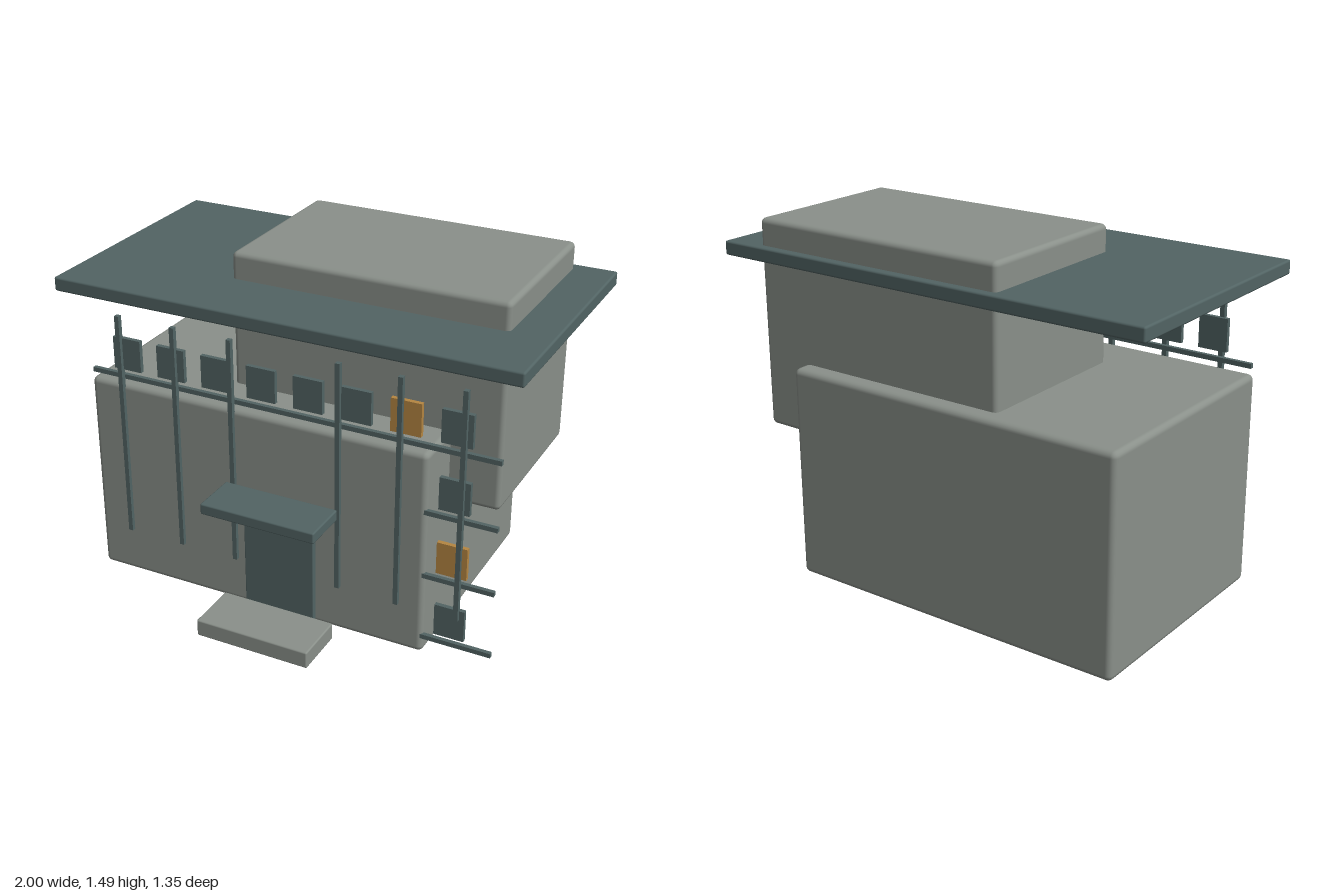
import * as THREE from 'three';
import { RoundedBoxGeometry } from 'three/addons/geometries/RoundedBoxGeometry.js';

const concrete = new THREE.MeshStandardMaterial({ name: 'concrete grey', color: 0x8a908a });
const slate = new THREE.MeshStandardMaterial({ name: 'slate teal', color: 0x526464 });
const amber = new THREE.MeshStandardMaterial({ name: 'lit amber', color: 0xb58642 });

// Box given by its [min, max] extents, with an optional rounded edge
function block(name, material, [x0, x1], [y0, y1], [z0, z1], radius = 0) {
  const size = [x1 - x0, y1 - y0, z1 - z0];
  const geometry = radius
    ? new RoundedBoxGeometry(...size, 2, radius)
    : new THREE.BoxGeometry(...size);
  const mesh = new THREE.Mesh(geometry, material);
  mesh.name = name;
  mesh.position.set((x0 + x1) / 2, (y0 + y1) / 2, (z0 + z1) / 2);
  return mesh;
}

export function createModel() {
  const model = new THREE.Group();
  model.name = 'building';

  // Two offset volumes and the overhanging roof slab
  model.add(
    block('lowerVolume', concrete, [-0.92, 0.612], [0, 0.91], [-0.672, 0.362], 0.025),
    block('upperVolume', concrete, [-0.355, 0.828], [0.602, 1.485], [-0.6, 0.14], 0.022),
    block('roofSlab', slate, [-1, 1], [1.312, 1.372], [-0.635, 0.452], 0.009)
  );

  // Entrance: door, canopy and step
  model.add(
    block('door', slate, [-0.16, 0.157], [0.013, 0.56], [0.408, 0.433], 0.004),
    block('canopy', slate, [-0.255, 0.252], [0.551, 0.599], [0.405, 0.61], 0.007),
    block('entranceStep', concrete, [-0.255, 0.252], [0.008, 0.083], [0.442, 0.674], 0.007)
  );

  // Tall vertical fins across the facade
  const fins = new THREE.Group();
  fins.name = 'facadeFins';
  for (const x of [-0.762, -0.502, -0.241, 0.236, 0.497, 0.757]) {
    fins.add(block('fin', slate, [x - 0.01, x + 0.01], [0.212, 1.218], [0.358, 0.379]));
  }
  model.add(fins);

  // A ledge per storey; below the top one only the end beside the wall stands free
  const ledges = new THREE.Group();
  ledges.name = 'floorLedges';
  for (let floor = 0; floor < 4; floor++) {
    const y = 0.079 + floor * 0.2883;
    const left = floor === 3 ? -0.91 : 0.55;
    ledges.add(block('ledge', slate, [left, 0.903], [y - 0.01, y + 0.01], [0.34, 0.358]));
  }
  model.add(ledges);

  // Windows: a full row on the top storey and a column down the right-hand end
  const windows = new THREE.Group();
  windows.name = 'windows';
  const addWindow = (x, y, lit) => windows.add(
    block('window', lit ? amber : slate, [x - 0.064, x + 0.064], [y - 0.07, y + 0.07], [0.344, 0.363])
  );
  for (let i = 0; i < 8; i++) addWindow(-0.732 + i * 0.2081, 1.048, i === 6);
  for (let floor = 0; floor < 3; floor++) addWindow(0.725, 0.183 + floor * 0.2883, floor === 1);
  model.add(windows);

  return model;
}
